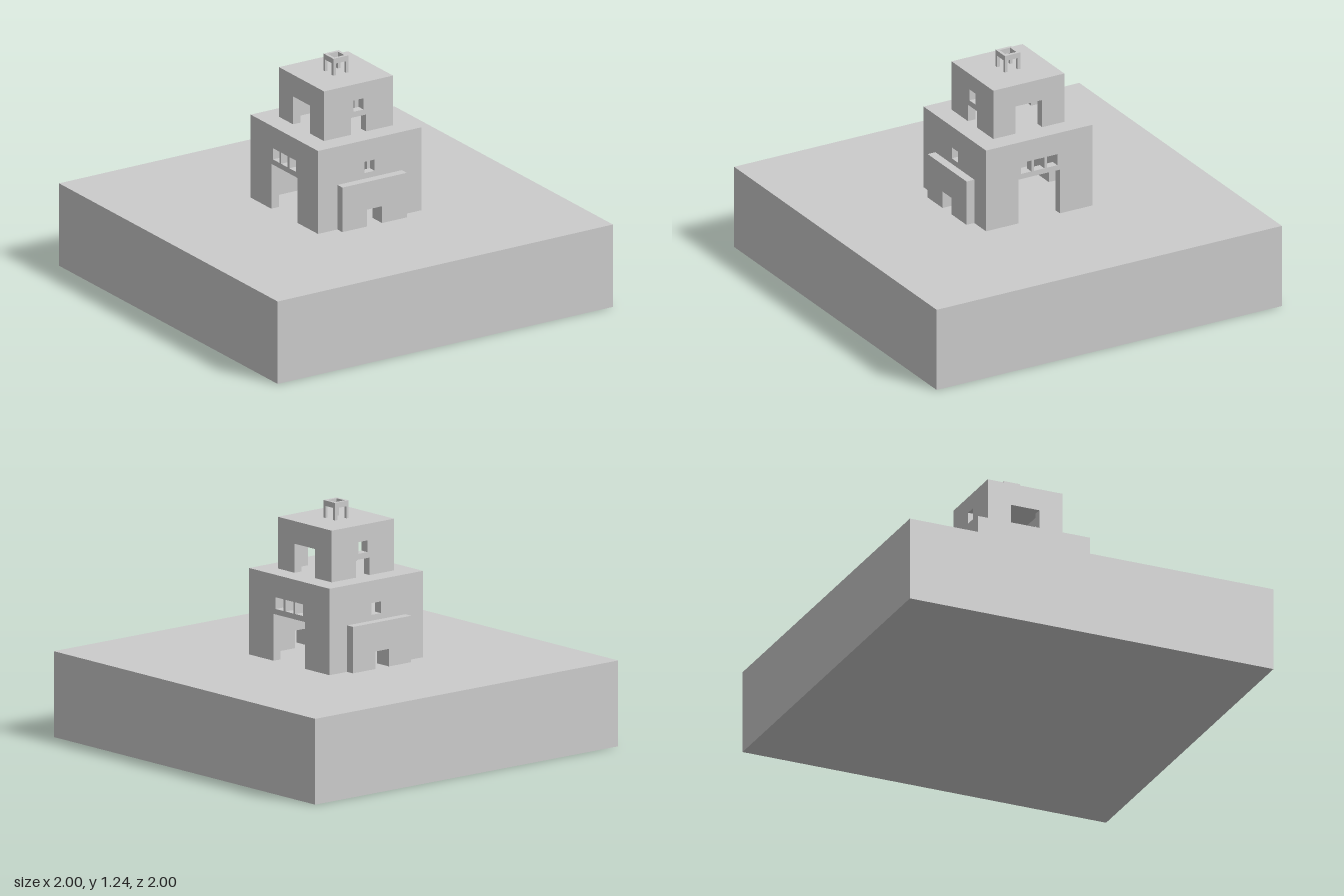
import * as THREE from 'three';

const material = new THREE.MeshStandardMaterial({ color: 0xcccccc, flatShading: true });
const WALL = 0.045;

function add(parent, name, geometry, x = 0, y = 0, z = 0) {
  const mesh = new THREE.Mesh(geometry, material);
  mesh.name = name;
  mesh.position.set(x, y, z);
  parent.add(mesh);
  return mesh;
}

function rectangle(x0, y0, x1, y1) {
  return new THREE.Path([[x0, y0], [x0, y1], [x1, y1], [x1, y0]].map(p => new THREE.Vector2(...p)));
}

// Upright wall centred on x, standing on y = 0, with a doorway notch and windows
function wallGeometry(width, height, thickness, door, windows = []) {
  const w = width / 2, d = door.width / 2;
  const outline = [[-w, 0], [-d, 0], [-d, door.height], [d, door.height], [d, 0], [w, 0], [w, height], [-w, height]];
  const shape = new THREE.Shape(outline.map(p => new THREE.Vector2(...p)));
  for (const [x, y, size, tall] of windows) {
    shape.holes.push(rectangle(x - size / 2, y, x + size / 2, y + tall));
  }
  return new THREE.ExtrudeGeometry(shape, { depth: thickness, bevelEnabled: false })
    .translate(0, 0, -thickness / 2);
}

// Hollow square storey: four pierced walls and a flat roof
function storey(name, size, height, front, side) {
  const group = new THREE.Group();
  group.name = name;
  const wallHeight = height - WALL;
  const offset = size / 2 - WALL / 2;
  const frontGeometry = wallGeometry(size, wallHeight, WALL, front.door, front.windows);
  const sideGeometry = wallGeometry(size - 2 * WALL, wallHeight, WALL, side.door, side.windows);
  for (const s of [1, -1]) {
    add(group, s > 0 ? 'frontWall' : 'backWall', frontGeometry, 0, 0, s * offset);
    add(group, s > 0 ? 'leftWall' : 'rightWall', sideGeometry, s * offset).rotation.y = Math.PI / 2;
  }
  add(group, 'roof', new THREE.BoxGeometry(size, WALL, size), 0, height - WALL / 2, 0);
  return group;
}

export function createModel() {
  const model = new THREE.Group();
  model.name = 'tower';

  // Ground block
  const ground = 0.44;
  add(model, 'groundBlock', new THREE.BoxGeometry(2, ground, 2), 0, ground / 2, 0);

  // Lower storey
  const smallDoor = { width: 0.09, height: 0.09 };
  const lower = storey('lowerStorey', 0.616, 0.443,
    { door: smallDoor, windows: [[0, 0.268, 0.06, 0.06]] },
    { door: { width: 0.24, height: 0.24 }, windows: [-0.075, 0, 0.075].map(x => [x, 0.268, 0.06, 0.06]) });
  lower.position.y = ground;
  model.add(lower);

  // Thick door surrounds on the front and back
  const surround = wallGeometry(0.384, 0.238, 0.045, smallDoor);
  for (const s of [1, -1]) {
    add(model, s > 0 ? 'frontSurround' : 'backSurround', surround, 0, ground, s * (0.308 + 0.0225));
  }

  // Upper storey
  const upper = storey('upperStorey', 0.412, 0.265,
    { door: smallDoor, windows: [[0, 0.12, 0.06, 0.06]] },
    { door: { width: 0.155, height: 0.149 } });
  upper.position.y = 0.883;
  model.add(upper);

  // Open lantern: four corner posts carrying a square ring
  const lantern = new THREE.Group();
  lantern.name = 'lantern';
  lantern.position.y = 1.148;
  const post = new THREE.BoxGeometry(0.015, 0.062, 0.015);
  for (const x of [-1, 1]) {
    for (const z of [-1, 1]) add(lantern, 'lanternPost', post, x * 0.0375, 0.031, z * 0.0375);
  }
  const ring = new THREE.Shape([[-1, -1], [1, -1], [1, 1], [-1, 1]].map(([x, y]) => new THREE.Vector2(x * 0.045, y * 0.045)));
  ring.holes.push(rectangle(-0.03, -0.03, 0.03, 0.03));
  add(lantern, 'lanternRing', new THREE.ExtrudeGeometry(ring, { depth: 0.028, bevelEnabled: false }), 0, 0.062, 0)
    .rotation.x = -Math.PI / 2;
  model.add(lantern);

  return model;
}
